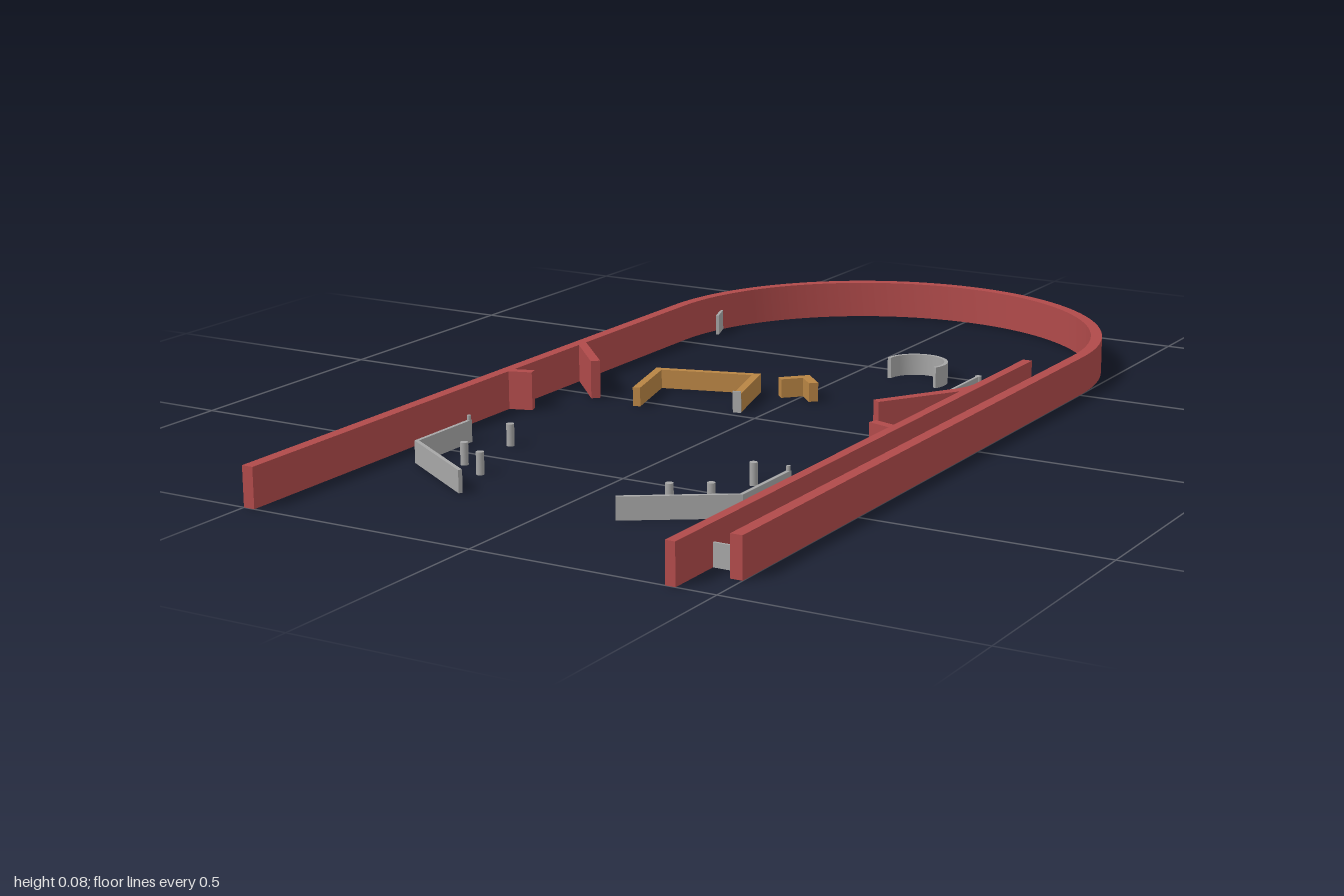
import * as THREE from 'three';
import { toCreasedNormals } from 'three/addons/utils/BufferGeometryUtils.js';

const red = new THREE.MeshStandardMaterial({ name: 'wall red', color: 0xb04a4a });
const orange = new THREE.MeshStandardMaterial({ name: 'guide orange', color: 0xb88444 });
const grey = new THREE.MeshStandardMaterial({ name: 'metal grey', color: 0xa6a6a6 });

const WALL_H = 0.08, RAIL_H = 0.045, GUIDE_H = 0.04;

// Upright prism from a plan outline of [x, z] points
function prism(points, height) {
  const shape = new THREE.Shape(points.map(([x, z]) => new THREE.Vector2(x, -z)));
  const geo = new THREE.ExtrudeGeometry(shape, { depth: height, bevelEnabled: false });
  geo.rotateX(-Math.PI / 2);
  return toCreasedNormals(geo, 0.4);
}

// Upright strip of even width along a plan path, with mitred corners
function strip(path, width, height) {
  const dirs = path.slice(1).map(([x, z], i) =>
    new THREE.Vector2(x - path[i][0], z - path[i][1]).normalize());
  const left = [], right = [];
  path.forEach(([x, z], i) => {
    const a = dirs[Math.max(i - 1, 0)], b = dirs[Math.min(i, dirs.length - 1)];
    const n = new THREE.Vector2(-a.y - b.y, a.x + b.x).normalize();
    const s = width / 2 / (n.x * -a.y + n.y * a.x);
    left.push([x + n.x * s, z + n.y * s]);
    right.unshift([x - n.x * s, z - n.y * s]);
  });
  return prism([...left, ...right], height);
}

function arc(cx, cz, r, from, to, steps) {
  return Array.from({ length: steps + 1 }, (_, i) => {
    const a = from + (to - from) * i / steps;
    return [cx + r * Math.cos(a), cz + r * Math.sin(a)];
  });
}

export function createModel() {
  const model = new THREE.Group();
  model.name = 'tableLayout';
  const add = (name, geo, material) => {
    const mesh = new THREE.Mesh(geo, material);
    mesh.name = name;
    model.add(mesh);
    return mesh;
  };
  const post = (name, x, z, r, h) =>
    add(name, new THREE.CylinderGeometry(r, r, h, 16), grey).position.set(x, h / 2, z);

  // Outer wall with the round top, and the launch lane divider
  add('outerWall', strip([
    [-0.488, 1], ...arc(0, -0.512, 0.488, Math.PI, 2 * Math.PI, 64), [0.488, 0.915],
  ], 0.024, WALL_H), red);
  add('laneDivider', strip([[0.41, -0.43], [0.41, 1]], 0.02, WALL_H), red);

  // Slanted side guides and small stubs
  add('sideGuideWest', prism([
    [-0.48, -0.11], [-0.362, 0.016], [-0.376, 0.03], [-0.48, -0.082],
  ], WALL_H), red);
  add('sideGuideEast', prism([
    [0.402, -0.205], [0.396, -0.17], [0.385, -0.145], [0.28, 0.017], [0.297, 0.028], [0.402, -0.13],
  ], WALL_H), red);
  add('stubWest', strip([[-0.485, 0.178], [-0.432, 0.161]], 0.02, WALL_H), red);
  add('stubEast', strip([[0.408, 0.178], [0.353, 0.161]], 0.02, WALL_H), red);

  // Orange target guides
  add('targetBracket', strip([
    [-0.26, 0.037], [-0.303, -0.122], [-0.099, -0.181], [-0.055, -0.025],
  ], 0.016, GUIDE_H), orange);
  add('chevron', strip([[-0.04, -0.177], [0, -0.218], [0.04, -0.177]], 0.02, GUIDE_H), orange);
  const cap = add('bracketEndPlate', new THREE.BoxGeometry(0.017, RAIL_H, 0.004), grey);
  cap.position.set(-0.0545, RAIL_H / 2, -0.0225);
  cap.rotation.y = 0.27;

  // Curved rail, straight rail and gates
  add('curvedRail', strip(arc(0.15, -0.432, 0.064, Math.PI, 2 * Math.PI + 0.45, 32), 0.008, RAIL_H), grey);
  add('straightRail', strip([[0.32, -0.38], [0.32, -0.14]], 0.006, RAIL_H), grey);
  for (const z of [-0.382, -0.138]) post('railPost', 0.32, z, 0.007, RAIL_H);
  add('laneGate', strip([[0.42, 0.875], [0.476, 0.875]], 0.005, RAIL_H), grey);
  add('upperGate', strip([[-0.488, -0.73], [-0.438, -0.595]], 0.006, RAIL_H), grey);

  // Mirrored lower lane rails with their posts, about x = -0.04
  for (const s of [-1, 1]) {
    const at = (dx) => -0.04 + s * dx;
    add('lowerRail', strip([[at(0.36), 0.43], [at(0.36), 0.606], [at(0.17), 0.73]], 0.008, RAIL_H), grey);
    post('railTip', at(0.36), 0.434, 0.004, 0.055);
    for (const [dx, z] of [[0.275, 0.415], [0.275, 0.57], [0.21, 0.61]])
      post('slingPost', at(dx), z, 0.008, RAIL_H);
  }
  return model;
}
